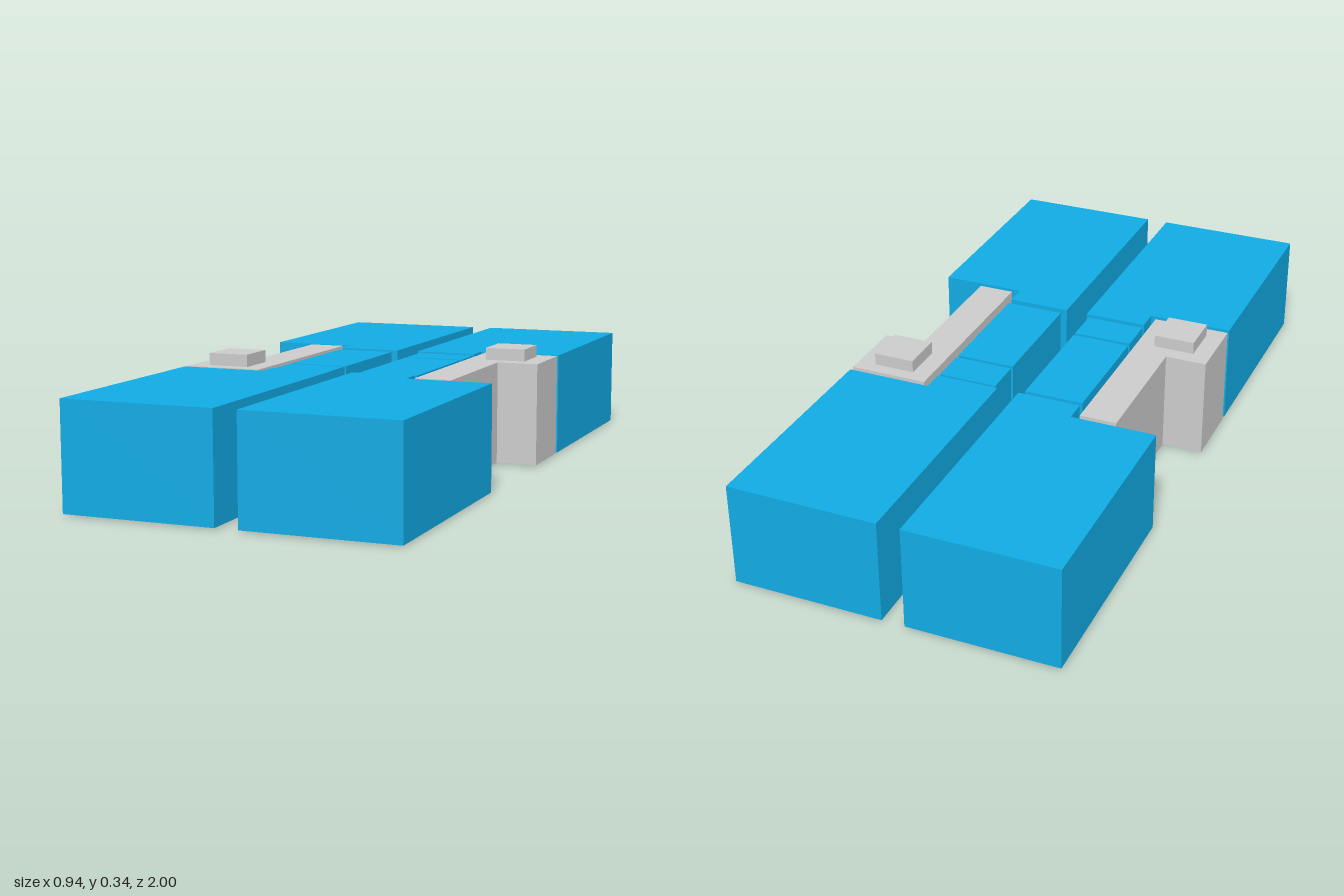
import * as THREE from 'three';

const blue = new THREE.MeshStandardMaterial({ color: 0x11abe4, flatShading: true });
const grey = new THREE.MeshStandardMaterial({ color: 0xcccccc, flatShading: true });
const BASE = 0.003, TOP = 0.305;

// Upright prism over a plan outline given as [x, z] corners
function prism(name, material, plan, y0, y1) {
  const shape = new THREE.Shape(plan.map(([x, z]) => new THREE.Vector2(x, -z)));
  const geometry = new THREE.ExtrudeGeometry(shape, { depth: y1 - y0, bevelEnabled: false });
  geometry.rotateX(-Math.PI / 2).translate(0, y0, 0);
  const mesh = new THREE.Mesh(geometry, material);
  mesh.name = name;
  return mesh;
}

const rect = (x0, x1, z0, z1) => [[x0, z0], [x1, z0], [x1, z1], [x0, z1]];

// One side of the model, at +x
function createHalf(name) {
  const half = new THREE.Group();
  half.name = name;

  // Large end blocks, stepped where they meet the middle
  for (const [label, s] of [['front', 1], ['back', -1]]) {
    const plan = [[0.033, 1], [0.47, 1], [0.47, 0.328], [0.22, 0.328], [0.22, 0.262], [0.033, 0.262]];
    half.add(prism(label + 'EndBlock', blue, plan.map(([x, z]) => [x, z * s]), BASE, TOP));
  }

  // Small inner blocks, sitting slightly lower
  half.add(prism('longInnerBlock', blue, rect(0.045, 0.22, -0.125, 0.242), 0, TOP - BASE));
  half.add(prism('shortInnerBlock', blue, rect(0.045, 0.22, -0.248, -0.138), 0, TOP - BASE));

  // L-shaped side piece with a raised cap on its foot
  half.add(prism('sidePiece', grey, [
    [0.24, -0.312], [0.47, -0.312], [0.47, -0.1], [0.348, -0.1], [0.348, 0.312], [0.24, 0.312],
  ], BASE, TOP));
  half.add(prism('cap', grey, rect(0.295, 0.416, -0.273, -0.147), TOP, 0.341));
  return half;
}

export function createModel() {
  const model = new THREE.Group();
  model.name = 'blockAssembly';
  // The right side is the left side turned half way round
  const right = createHalf('rightHalf');
  right.rotation.y = Math.PI;
  model.add(createHalf('leftHalf'), right);
  return model;
}
